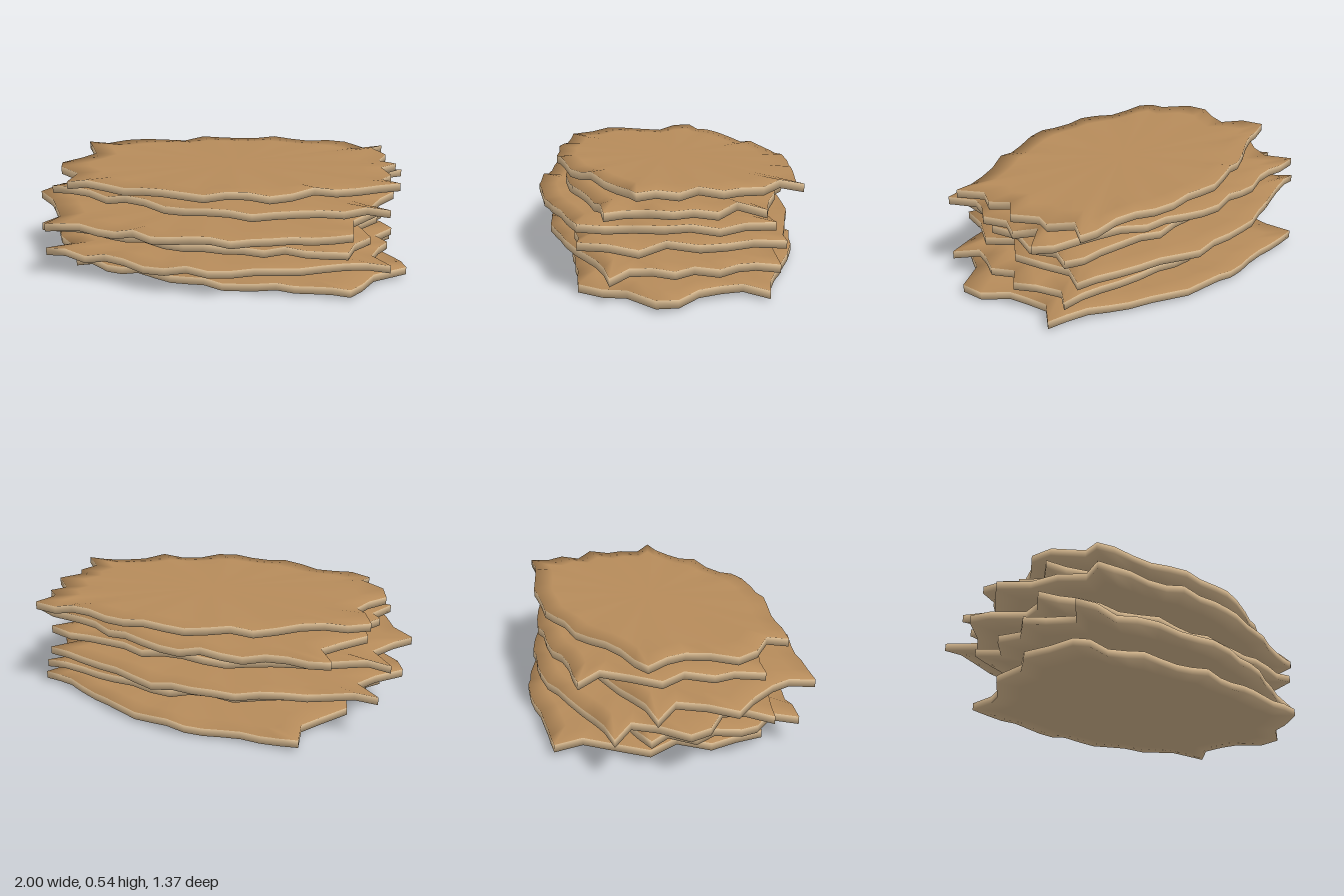
import * as THREE from 'three';

const topMaterial = new THREE.MeshStandardMaterial({ color: 0xb78c5b });
topMaterial.name = 'brown top';
const rimMaterial = new THREE.MeshStandardMaterial({ color: 0xd6b88f });
rimMaterial.name = 'tan underside';

const THICKNESS = 0.04;
const LONG_SEGMENTS = 16;

// Each sheet: corners [x, z], how far the long edges bulge (z), and x offsets of the ragged ends
const SHEETS = [
  { y: 0.04, bl: [-0.58, -0.68], br: [0.93, -0.34], fr: [0.72, 0.52], fl: [-0.73, 0.33], back: -0.66, front: 0.51,
    right: [-0.06, -0.01, 0.03, 0.15, 0.2, 0.06, 0.03], left: [0.04, 0.1, 0.03, 0.09, 0, -0.04] },
  { y: 0.142, bl: [-0.85, -0.28], br: [0.88, -0.4], fr: [0.91, 0.39], fl: [-0.84, 0.47], back: -0.52, front: 0.62,
    right: [-0.08, -0.02, 0.035, -0.06, 0, -0.05, -0.09], left: [-0.1, -0.01, 0.04, -0.03, 0.02, -0.08] },
  { y: 0.23, bl: [-0.91, -0.47], br: [0.83, -0.44], fr: [0.7, 0.52], fl: [-0.92, 0.3], back: -0.65, front: 0.51,
    right: [-0.06, 0, 0.07, -0.02, 0.07, 0.01], left: [-0.08, -0.1, 0.03, 0.07, -0.05, -0.12] },
  { y: 0.322, bl: [-0.94, -0.28], br: [0.85, -0.38], fr: [0.72, 0.52], fl: [-0.8, 0.565], back: -0.485, front: 0.68,
    right: [-0.05, 0.02, 0, 0.07, -0.04, -0.02], left: [-0.06, -0.01, 0.03, 0.12, 0.02, -0.09] },
  { y: 0.42, bl: [-0.7, -0.58], br: [0.97, -0.3], fr: [0.89, 0.41], fl: [-0.86, 0.27], back: -0.605, front: 0.535,
    right: [-0.12, -0.04, -0.08, -0.01, -0.07, -0.1], left: [-0.06, 0.02, -0.03, 0.04, -0.05, -0.1] },
  { y: 0.512, bl: [-0.83, -0.29], br: [0.86, -0.5], fr: [0.935, 0.27], fl: [-0.71, 0.455], back: -0.58, front: 0.572,
    right: [-0.07, 0, -0.05, 0.03, -0.06, -0.02, -0.08], left: [-0.04, 0.07, 0.085, -0.01, -0.07, -0.03] },
];

function seeded(seed) {
  let s = seed;
  return () => {
    s = (s * 16807) % 2147483647;
    return s / 2147483647;
  };
}

const mix = (a, b, t) => [a[0] + (b[0] - a[0]) * t, a[1] + (b[1] - a[1]) * t];

// Long edge: a chord with a soft bulge reaching z = target in the middle
function longEdge(a, b, target, rand) {
  const bulge = target - (a[1] + b[1]) / 2;
  const points = [];
  for (let i = 0; i < LONG_SEGMENTS; i++) {
    const t = i / LONG_SEGMENTS;
    const [x, z] = mix(a, b, t);
    const rough = i > 0 ? (rand() - 0.5) * 0.018 : 0;
    points.push([x, z + bulge * Math.sin(Math.PI * t) ** 1.6 + rough]);
  }
  return points;
}

// Ragged end: a chord with each point pushed in or out along x
function raggedEnd(a, b, offsets, side) {
  const points = [a];
  offsets.forEach((d, i) => {
    const [x, z] = mix(a, b, (i + 1) / (offsets.length + 1));
    points.push([x + d * side, z]);
  });
  return points;
}

function sheetGeometry(s, seed) {
  const rand = seeded(seed);
  const outline = [
    ...longEdge(s.bl, s.br, s.back, rand),
    ...raggedEnd(s.br, s.fr, s.right, 1),
    ...longEdge(s.fr, s.fl, s.front, rand),
    ...raggedEnd(s.fl, s.bl, s.left, -1),
  ];
  const n = outline.length;
  const cx = (s.bl[0] + s.br[0] + s.fr[0] + s.fl[0]) / 4;
  const cz = (s.back + s.front) / 2;
  const phase = rand() * 6;
  // Edge ripple, fading to flat in the middle
  const ripple = outline.map((p, i) => 0.009 * Math.sin(i * 1.75 + phase) + (rand() - 0.5) * 0.018);

  // Rings run from the top centre over the rim to the bottom centre
  const fractions = [0.35, 0.65, 0.84, 1];
  const rim = fractions.length - 1;
  const rings = [...fractions.map((f) => [f, 1]), ...fractions.toReversed().map((f) => [f, -1])];
  const positions = [cx, s.y + THICKNESS / 2, cz];
  for (const [f, side] of rings) {
    outline.forEach(([x, z], i) => {
      positions.push(cx + (x - cx) * f, s.y + side * THICKNESS / 2 + ripple[i] * f ** 5, cz + (z - cz) * f);
    });
  }
  positions.push(cx, s.y - THICKNESS / 2, cz);
  const last = positions.length / 3 - 1;

  const index = [];
  const at = (r, i) => 1 + r * n + (i % n);
  for (let i = 0; i < n; i++) index.push(0, at(0, i + 1), at(0, i));
  let topCount = 0;
  for (let r = 0; r < rings.length - 1; r++) {
    if (r === rim) topCount = index.length;
    for (let i = 0; i < n; i++) {
      const a = at(r, i), b = at(r, i + 1), c = at(r + 1, i), d = at(r + 1, i + 1);
      index.push(a, b, c, b, d, c);
    }
  }
  for (let i = 0; i < n; i++) index.push(at(rings.length - 1, i), at(rings.length - 1, i + 1), last);

  const geometry = new THREE.BufferGeometry();
  geometry.setAttribute('position', new THREE.Float32BufferAttribute(positions, 3));
  geometry.setIndex(index);
  geometry.addGroup(0, topCount, 0);
  geometry.addGroup(topCount, index.length - topCount, 1);
  geometry.computeVertexNormals();

  // Lean the rim normals outward so the edge shades as softly rounded
  const normals = geometry.attributes.normal;
  const normal = new THREE.Vector3();
  for (let i = 0; i < n; i++) {
    const before = outline[(i + n - 1) % n], after = outline[(i + 1) % n];
    const outward = new THREE.Vector3(after[1] - before[1], 0, before[0] - after[0]).normalize();
    for (const v of [at(rim, i), at(rim + 1, i)]) {
      normal.fromBufferAttribute(normals, v).addScaledVector(outward, 0.8).normalize();
      normals.setXYZ(v, normal.x, normal.y, normal.z);
    }
  }
  return geometry;
}

export function createModel() {
  const model = new THREE.Group();
  model.name = 'sheetStack';
  SHEETS.forEach((s, i) => {
    const mesh = new THREE.Mesh(sheetGeometry(s, 1234 + i * 7919), [topMaterial, rimMaterial]);
    mesh.name = `sheet${i + 1}`;
    model.add(mesh);
  });
  // Rest the lowest ripple on the ground
  model.position.y = -new THREE.Box3().setFromObject(model).min.y;
  return model;
}
